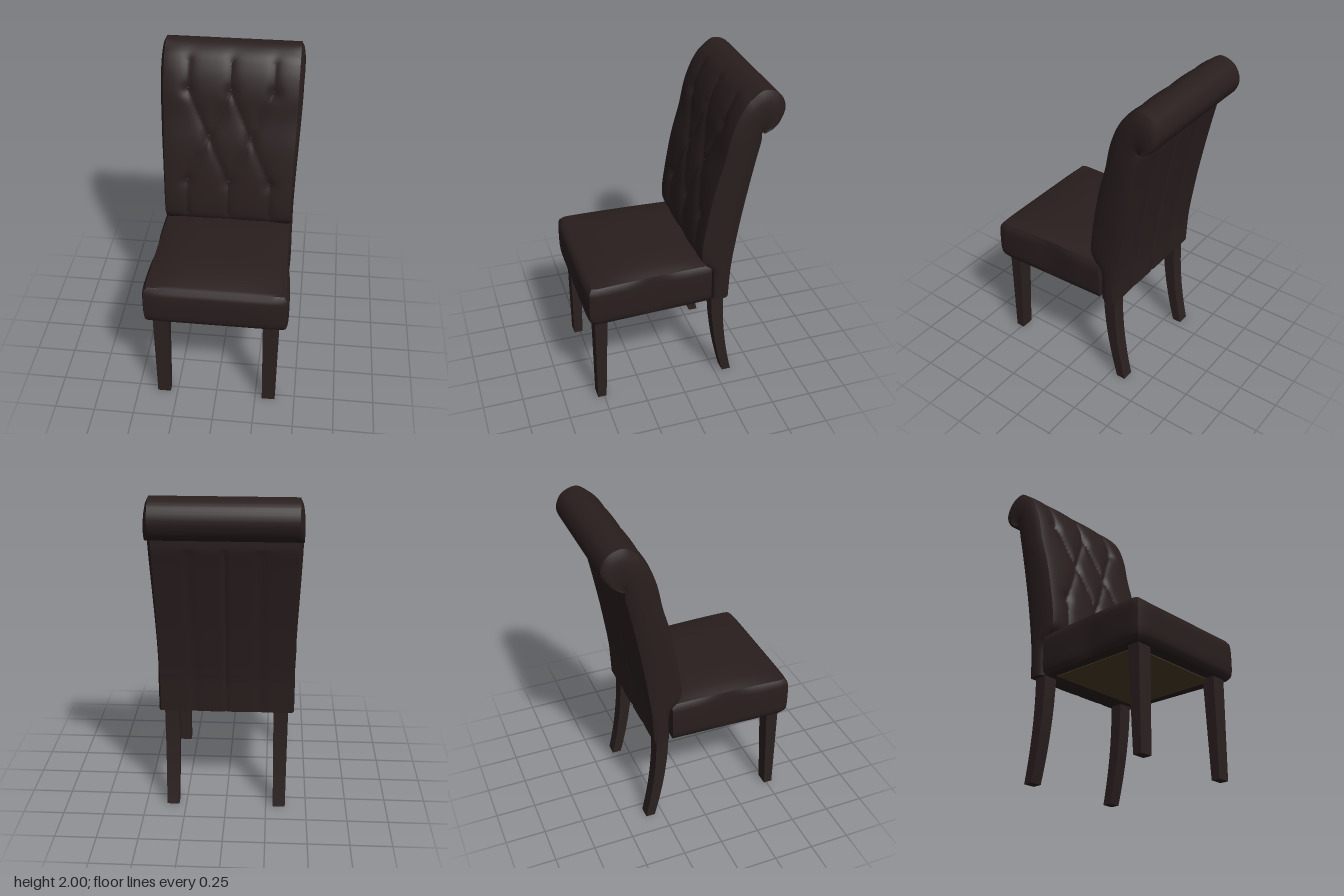
import * as THREE from 'three';
import { toCreasedNormals } from 'three/addons/utils/BufferGeometryUtils.js';

const { lerp, smoothstep } = THREE.MathUtils;
const gauss = (d, w) => Math.exp(-(d * d) / (w * w));

// Moves every vertex of a unit box (-1..1) by a rule
function shapedBox(sx, sy, sz, rule, crease = 0.6) {
  const g = new THREE.BoxGeometry(2, 2, 2, sx, sy, sz);
  const p = g.attributes.position;
  for (let i = 0; i < p.count; i++) p.setXYZ(i, ...rule(p.getX(i), p.getY(i), p.getZ(i)));
  return toCreasedNormals(g, crease);
}

// Side profile of the backrest as [z, y]: front face over the scroll, paired with the rear face
const FRONT = [[-.2, .63], [-.19, .84], [-.15, .885], [-.122, .93], [-.118, 1], [-.14, 1.17], [-.183, 1.4],
  [-.232, 1.58], [-.268, 1.75], [-.32, 1.88], [-.38, 1.96], [-.47, 2], [-.555, 1.965], [-.59, 1.88],
  [-.555, 1.795], [-.49, 1.757], [-.46, 1.75]];
const REAR = [[-.305, .63], [-.315, .84], [-.32, .885], [-.325, .93], [-.335, 1], [-.36, 1.17], [-.4, 1.4],
  [-.435, 1.58], [-.458, 1.69], [-.46, 1.72], [-.46, 1.735], [-.46, 1.74], [-.46, 1.743], [-.46, 1.745],
  [-.46, 1.747], [-.46, 1.749], [-.46, 1.75]];
const curve = pts => new THREE.CatmullRomCurve3(pts.map(([z, y]) => new THREE.Vector3(0, y, z)));

// Tufting: buttons joined by diamond pleats, with straight pleats above and below
const BUTTONS = [[-.26, 1.75], [0, 1.75], [.26, 1.75], [-.13, 1.46], [.13, 1.46], [-.26, 1.17], [0, 1.17], [.26, 1.17]];
const PLEATS = [];
for (const x of [-.13, .13]) {
  for (const dx of [-.13, .13]) {
    PLEATS.push([x, 1.46, x + dx, 1.75], [x, 1.46, x + dx, 1.17]);
  }
}
for (const x of [-.26, 0, .26]) PLEATS.push([x, 1.17, x, .95], [x, 1.75, x, 1.92]);

function tuft(x, y) {
  let d = 1, b = 1;
  for (const [x0, y0, x1, y1] of PLEATS) {
    const dx = x1 - x0, dy = y1 - y0;
    const t = THREE.MathUtils.clamp(((x - x0) * dx + (y - y0) * dy) / (dx * dx + dy * dy), 0, 1);
    d = Math.min(d, Math.hypot(x - x0 - dx * t, y - y0 - dy * t));
  }
  for (const [bx, by] of BUTTONS) b = Math.min(b, Math.hypot(x - bx, y - by));
  return 0.017 * Math.exp(-d / 0.03) + 0.012 * gauss(b, 0.04);
}

// Backrest lofted from closed cross-sections that follow the profile
function backrestGeometry() {
  const N = 180, NX = 64, NS = 8;
  const fc = curve(FRONT), rc = curve(REAR);
  const pos = [], index = [];
  const L = 2 * (NX + NS);
  for (let i = 0; i <= N; i++) {
    const f = fc.getPoint(i / N), r = rc.getPoint(i / N);
    const dir = f.clone().sub(r).normalize();
    const w = lerp(.398, .41, smoothstep(f.y, .9, 1.8));
    const bulge = lerp(.015, .027, smoothstep(f.y, .9, 1.8));
    const fade = smoothstep(f.z, -.46, -.38);
    const put = (x, base, off) => pos.push(x, base.y + dir.y * off, base.z + dir.z * off);
    const frontOff = u => -0.012 * u ** 8 * fade - tuft(u * w, f.y) * fade;
    const rearOff = u => 0.008 * gauss(u, .03) + 0.005 * (gauss(u - .5, .08) + gauss(u + .5, .08));
    const flat = smoothstep(f.distanceTo(r), 0, .15) * (1 - smoothstep(f.y, 1.7, 1.8)) * (f.z > -.4 ? 1 : 0);
    const side = (s, t) => {
      const p = f.clone().lerp(r, t);
      put(s * (w + bulge * Math.sin(Math.PI * t) ** .6), p, frontOff(1) * (1 - t));
    };
    for (let j = 0; j < NX; j++) { const u = -1 + 2 * j / NX; put(u * w, f, frontOff(u)); }
    for (let j = 0; j < NS; j++) side(1, j / NS);
    for (let j = 0; j < NX; j++) { const u = 1 - 2 * j / NX; put(u * w, r, rearOff(u) * flat); }
    for (let j = 0; j < NS; j++) side(-1, 1 - j / NS);
  }
  for (let i = 0; i < N; i++) {
    for (let j = 0; j < L; j++) {
      const a = i * L + j, b = i * L + (j + 1) % L;
      index.push(a, b, b + L, a, b + L, a + L);
    }
  }
  // Bottom cap
  const centre = pos.length / 3;
  pos.push(0, .63, -.255);
  for (let j = 0; j < L; j++) index.push(centre, (j + 1) % L, j);
  const g = new THREE.BufferGeometry();
  g.setAttribute('position', new THREE.Float32BufferAttribute(pos, 3));
  g.setIndex(index);
  return { geometry: toCreasedNormals(g, 0.7), fc };
}

export function createModel() {
  const model = new THREE.Group();
  const mat = (name, color) => new THREE.MeshStandardMaterial({ name, color });
  const leather = mat('dark brown leather', 0x291e1e);
  const wood = mat('dark stained wood', 0x2b2020);
  const lining = mat('olive brown lining', 0x4a3925);
  const add = (name, geometry, material, parent = model) => {
    const m = new THREE.Mesh(geometry, material);
    m.name = name;
    parent.add(m);
    return m;
  };

  // Seat cushion: domed top, puffed sides pinched at the side seam, wider at the front
  add('seat', shapedBox(28, 12, 40, (u, v, s) => {
    const k = (s + 1) / 2;
    const puff = Math.sqrt(Math.max(0, 1 - v ** 4));
    const zBase = lerp(-.185, .555, k);
    const pinch = 1 - .7 * gauss(zBase - .17, .12);
    const half = lerp(.392, .418, k) + .022 * puff * pinch - .012 * Math.max(0, s) ** 24;
    const z = zBase + puff * (s > 0 ? .035 * s ** 6 * (1 - .4 * u ** 8) : -.006 * s ** 6);
    const dome = .05 * (1 - u ** 4 * .9) * (1 - (s > 0 ? s ** 2.3 : .6 * Math.abs(s) ** 3));
    const y = lerp(.622, .88, (v + 1) / 2) + Math.max(0, v) ** 3 * dome;
    return [u * half, y, z];
  }), leather);

  add('seatUnderside', new THREE.BoxGeometry(.68, .006, .62), lining).position.set(0, .62, .17);

  // Scrolled backrest
  const { geometry, fc } = backrestGeometry();
  add('backrest', geometry, leather);

  // Tufting buttons, sunk into the pleats
  const buttons = new THREE.Group();
  buttons.name = 'tuftingButtons';
  model.add(buttons);
  const samples = fc.getPoints(400).slice(0, 270);
  for (const [x, y] of BUTTONS) {
    const p = samples.reduce((a, b) => Math.abs(b.y - y) < Math.abs(a.y - y) ? b : a);
    const b = add('button', new THREE.SphereGeometry(.01, 12, 8), leather, buttons);
    b.position.set(x, y, p.z - .029);
    b.scale.z = .5;
  }

  // Legs: straight tapered pair in front, curved sabre pair behind
  for (const [side, s] of [['left', 1], ['right', -1]]) {
    add(side + 'FrontLeg', shapedBox(1, 1, 1, (u, v, w) => {
      const t = (v + 1) / 2;
      return [s * .335 + u * lerp(.041, .049, t), t * .63, w > 0 ? .54 : lerp(.485, .46, t)];
    }), wood);
    add(side + 'RearLeg', shapedBox(1, 14, 1, (u, v, w) => {
      const t = (v + 1) / 2;
      const mid = -.245 - .085 * (1 - t) ** 1.9;
      return [s * .332 + u * lerp(.038, .045, t), t * .64, mid + w * lerp(.029, .04, t)];
    }), wood);
  }
  return model;
}
